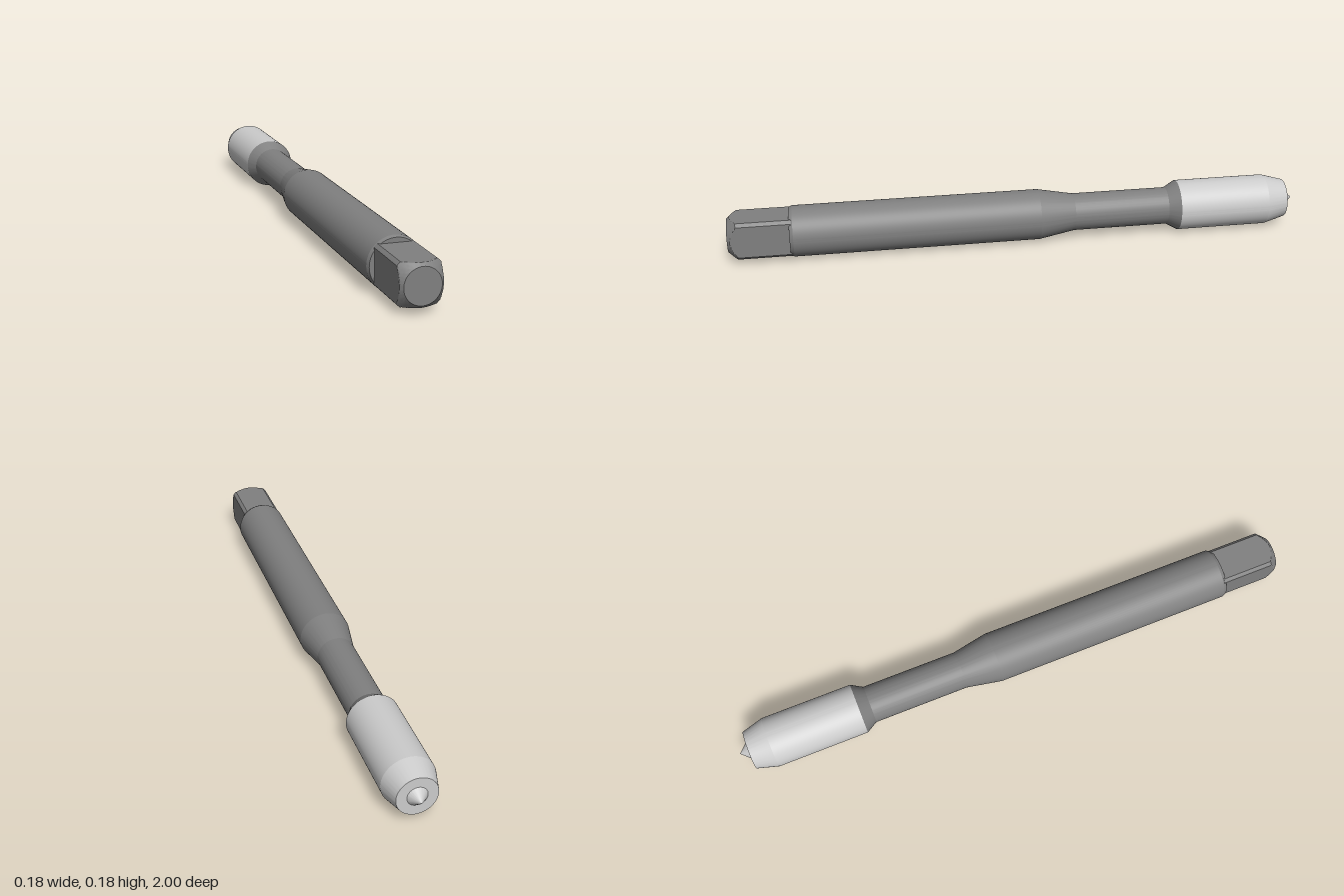
import * as THREE from 'three';
import { toCreasedNormals } from 'three/addons/utils/BufferGeometryUtils.js';

const RADIUS = 0.088;

// Turned part along z; profile is [radius, z] from back to front
function turned(name, color, profile, reshape) {
  const points = profile.map(([r, z]) => new THREE.Vector2(r, z));
  const geometry = new THREE.LatheGeometry(points, 72);
  geometry.rotateX(Math.PI / 2);
  if (reshape) reshape(geometry.attributes.position);
  const mesh = new THREE.Mesh(
    toCreasedNormals(geometry, 0.15),
    new THREE.MeshStandardMaterial({ color })
  );
  mesh.name = name;
  mesh.position.y = RADIUS;
  return mesh;
}

export function createModel() {
  const group = new THREE.Group();
  group.name = 'formingTap';
  const dark = 0x808080, light = 0xcccccc;

  // Round shaft: flare behind the head, slim neck, taper and chamfered shoulder
  group.add(turned('shaft', dark, [
    [0, -0.57], [RADIUS, -0.57], [0.065, -0.53], [0.065, -0.195],
    [RADIUS, -0.07], [RADIUS, 0.78], [0.083, 0.792], [0, 0.792],
  ]));

  // Square drive: a chamfered cylinder with four flats cut into it
  const flat = 0.067, corner = flat / Math.cos(THREE.MathUtils.degToRad(40));
  const drive = [[0, 0.785], [corner, 0.785]];
  for (let i = 0; i <= 10; i++) {
    const t = i / 10;
    drive.push([THREE.MathUtils.lerp(corner, 0.058, t), THREE.MathUtils.lerp(0.968, 1, t)]);
  }
  drive.push([0, 1]);
  group.add(turned('squareDrive', dark, drive, (p) => {
    for (let i = 0; i < p.count; i++) {
      p.setX(i, THREE.MathUtils.clamp(p.getX(i), -flat, flat));
      p.setY(i, THREE.MathUtils.clamp(p.getY(i), -flat, flat));
    }
  }));

  // Working head with tapered lead
  group.add(turned('head', light, [
    [0, -0.965], [0.067, -0.965], [RADIUS, -0.89], [RADIUS, -0.57], [0, -0.57],
  ]));

  // Small centring point
  group.add(turned('point', light, [[0, -1], [0.033, -0.965], [0, -0.965]]));

  return group;
}
